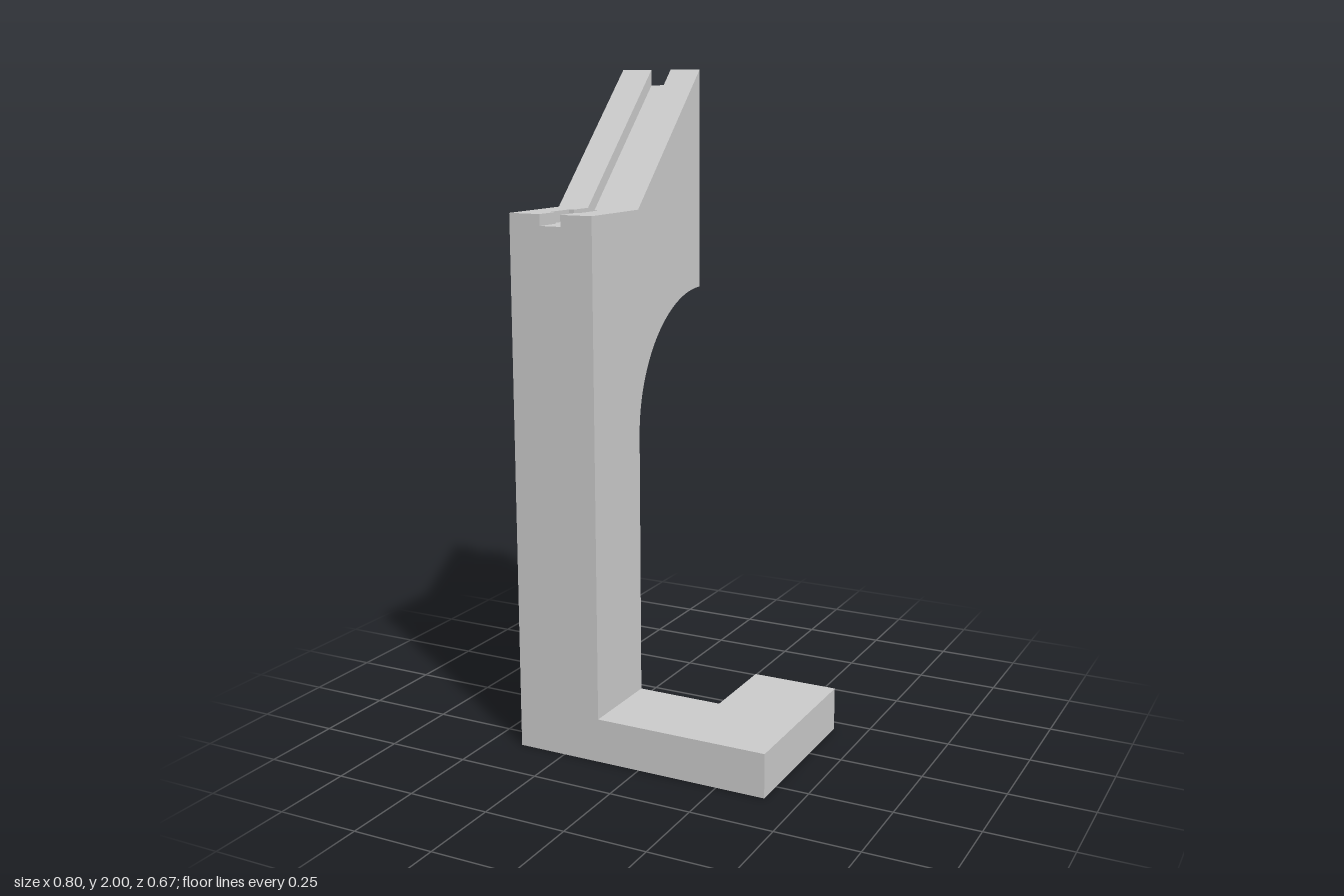
import * as THREE from 'three';

const material = new THREE.MeshStandardMaterial({ color: 0xcccccc });

const FRONT = 0.333, BACK = -0.333, COLUMN_BACK = 0.067;
const LEDGE = 1.6, TOP = 2, FLOOR = 1.567;

// Top edges of the post, as [z, y] from front to back
const plainTop = [[FRONT, LEDGE], [COLUMN_BACK, LEDGE], [BACK, TOP]];
const pocketTop = [
  [FRONT, LEDGE], [0.25, LEDGE], [0.25, FLOOR], [0.147, FLOOR], [0.147, LEDGE],
  [COLUMN_BACK, LEDGE], [BACK, TOP],
];
const grooveTop = [[FRONT, FLOOR], [0.053, FLOOR], [BACK, 1.953]];

// Side profile of the post: straight column, curved underside, given top edge
function postSlice(name, x0, x1, topEdge) {
  const shape = new THREE.Shape();
  shape.moveTo(-FRONT, 0);
  shape.lineTo(-COLUMN_BACK, 0);
  shape.lineTo(-COLUMN_BACK, 0.933);
  shape.absarc(-BACK, 0.933, 0.4, Math.PI, Math.PI / 2, true);
  for (const [z, y] of [...topEdge].reverse()) shape.lineTo(-z, y);
  shape.closePath();
  const geometry = new THREE.ExtrudeGeometry(shape, {
    depth: x1 - x0, bevelEnabled: false, curveSegments: 16,
  });
  geometry.rotateY(Math.PI / 2).translate(x0, 0, 0);
  const mesh = new THREE.Mesh(geometry, material);
  mesh.name = name;
  return mesh;
}

export function createModel() {
  const model = new THREE.Group();
  model.name = 'stand';

  // Post, sliced across its width around the groove and its wider pocket
  const post = new THREE.Group();
  post.name = 'post';
  post.add(
    postSlice('postRightSide', -0.4, -0.317, plainTop),
    postSlice('pocketRightEdge', -0.317, -0.3, pocketTop),
    postSlice('grooveFloor', -0.3, -0.233, grooveTop),
    postSlice('pocketLeftEdge', -0.233, -0.219, pocketTop),
    postSlice('postLeftSide', -0.219, -0.133, plainTop),
  );
  model.add(post);

  // L-shaped foot reaching sideways and back
  const outline = [
    [-0.133, FRONT], [0.4, FRONT], [0.4, -0.2], [0.133, -0.2],
    [0.133, COLUMN_BACK], [-0.133, COLUMN_BACK],
  ];
  const footShape = new THREE.Shape(outline.map(([x, z]) => new THREE.Vector2(x, -z)));
  const footGeometry = new THREE.ExtrudeGeometry(footShape, { depth: 0.133, bevelEnabled: false });
  footGeometry.rotateX(-Math.PI / 2);
  const foot = new THREE.Mesh(footGeometry, material);
  foot.name = 'foot';
  model.add(foot);

  return model;
}
